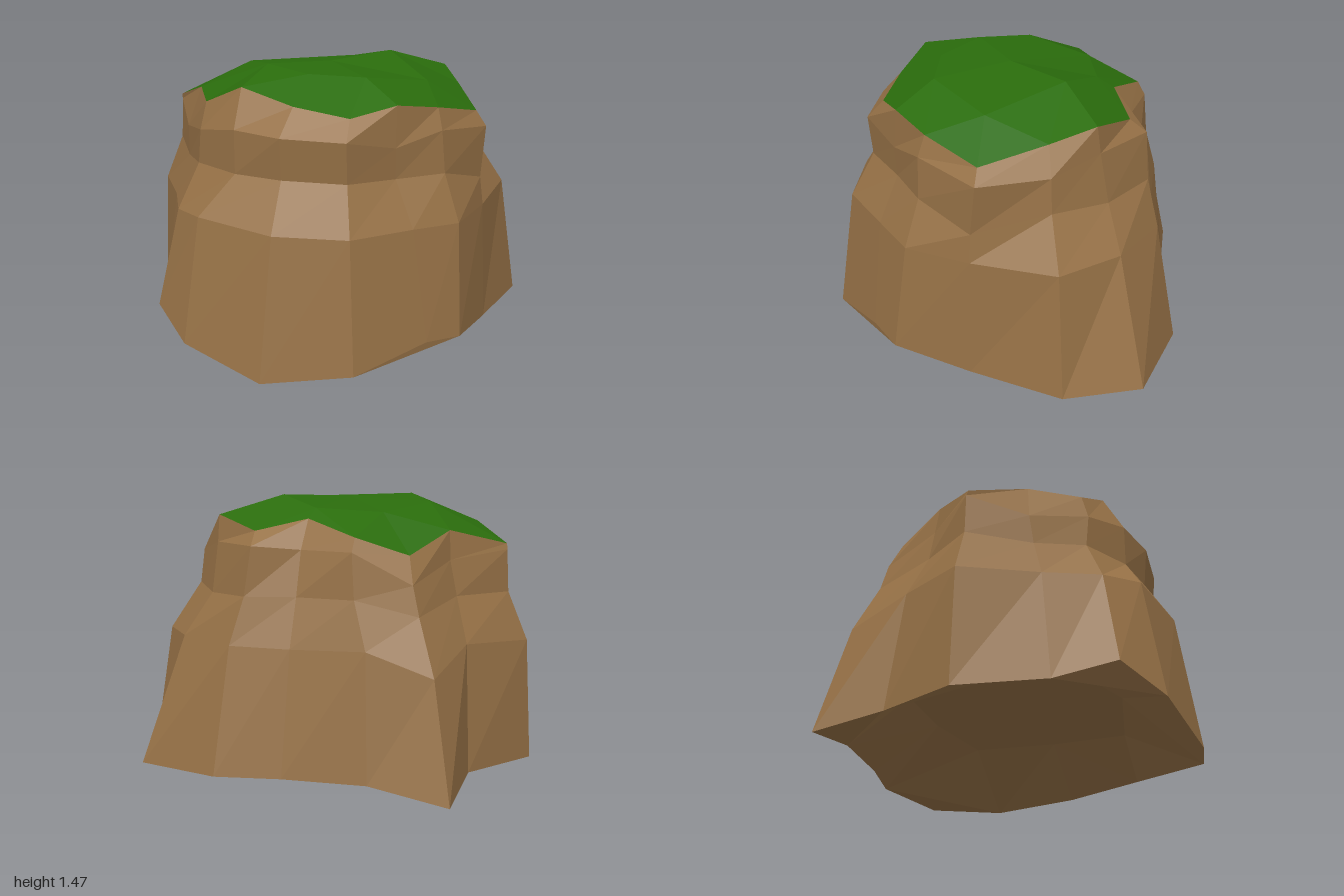
import * as THREE from 'three';

const N = 16; // columns around the rock, from the front towards +x

// ragged foot of the rock: x, y, z per column
const foot = [
  [-0.03, 0, 0.97], [0.43, 0.07, 0.89], [0.72, 0.16, 0.58], [0.86, 0.145, 0.42],
  [0.91, 0.09, 0], [1, 0.08, -0.5], [0.84, 0.09, -0.88], [0.36, 0.1, -0.98],
  [0.03, 0.1, -0.89], [-0.4, 0.1, -0.83], [-0.81, 0.03, -0.8], [-0.79, 0.1, -0.43],
  [-1, 0.09, 0], [-0.8, 0.145, 0.42], [-0.69, 0.24, 0.72], [-0.47, 0.12, 0.89],
];
// shoulder above the steep lower wall
const shoulder = [
  [0, 0.74, 0.86], [0.38, 0.74, 0.8], [0.63, 0.74, 0.55], [0.82, 0.73, 0.35],
  [0.88, 0.73, 0], [0.91, 0.74, -0.45], [0.67, 0.75, -0.71], [0.33, 0.74, -0.85],
  [0.03, 0.73, -0.78], [-0.36, 0.74, -0.75], [-0.69, 0.62, -0.69], [-0.75, 0.74, -0.36],
  [-0.97, 0.72, 0], [-0.74, 0.74, 0.36], [-0.6, 0.75, 0.63], [-0.42, 0.77, 0.78],
];
// narrow waist below the overhang
const waist = [
  [0, 0.98, 0.71], [0.33, 0.98, 0.68], [0.52, 0.97, 0.48], [0.73, 0.97, 0.3],
  [0.86, 0.88, 0], [0.76, 0.99, -0.38], [0.55, 0.97, -0.62], [0.28, 0.98, -0.78],
  [0.03, 0.98, -0.7], [-0.28, 0.98, -0.7], [-0.58, 0.9, -0.6], [-0.67, 0.97, -0.28],
  [-0.865, 0.97, 0], [-0.68, 0.95, 0.3], [-0.52, 0.98, 0.53], [-0.26, 0.98, 0.67],
];
// overhang under the grass
const overhang = [
  [0, 1.195, 0.73], [0.33, 1.19, 0.7], [0.52, 1.13, 0.49], [0.71, 1.19, 0.3],
  [0.875, 1.15, -0.03], [0.74, 1.17, -0.37], [0.54, 1.23, -0.57], [0.25, 1.23, -0.755],
  [0.03, 1.21, -0.64], [-0.26, 1.21, -0.68], [-0.54, 1.05, -0.58], [-0.63, 1.15, -0.27],
  [-0.855, 1.19, 0], [-0.69, 1.11, 0.28], [-0.5, 1.16, 0.54], [-0.26, 1.205, 0.67],
];
// zigzag border between rock and grass
const rim = [
  [0.03, 1.33, 0.61], [0.32, 1.29, 0.61], [0.52, 1.34, 0.47], [0.68, 1.3, 0.27],
  [0.82, 1.23, -0.03], [0.66, 1.31, -0.34], [0.54, 1.37, -0.55], [0.27, 1.3, -0.67],
  [0.03, 1.36, -0.55], [-0.26, 1.28, -0.64], [-0.5, 1.19, -0.52], [-0.62, 1.3, -0.25],
  [-0.85, 1.22, 0.01], [-0.62, 1.32, 0.25], [-0.48, 1.3, 0.5], [-0.26, 1.4, 0.56],
];
// crown of the grass, one point per two columns
const crown = [
  [0.03, 1.45, 0.38], [0.32, 1.44, 0.33], [0.56, 1.38, 0], [0.27, 1.47, -0.34],
  [0.03, 1.41, -0.46], [-0.3, 1.39, -0.36], [-0.43, 1.43, 0], [-0.24, 1.465, 0.24],
];
// ceiling of the hollow underneath, one point per two columns
const ceiling = [
  [-0.01, 0.56], [0.55, 0.43], [0.56, 0], [0.51, -0.46],
  [0.05, -0.52], [-0.39, -0.49], [-0.5, 0.08], [-0.37, 0.45],
].map(([x, z]) => [x, 0.33, z]);

// faceted mesh from a list of triangles
function facetMesh(name, tris, color) {
  const g = new THREE.BufferGeometry();
  g.setAttribute('position', new THREE.Float32BufferAttribute(tris.flat(2), 3));
  g.computeVertexNormals();
  const mesh = new THREE.Mesh(g, new THREE.MeshStandardMaterial({ color, flatShading: true }));
  mesh.name = name;
  return mesh;
}

// wall of quads between two rings of equal count
function wall(low, high) {
  return low.flatMap((a, i) => {
    const j = (i + 1) % low.length;
    return [[a, low[j], high[j]], [a, high[j], high[i]]];
  });
}

// fan closing a ring to a centre point, facing up
const fan = (ring, c) => ring.map((p, i) => [p, ring[(i + 1) % ring.length], c]);

export function createModel() {
  const group = new THREE.Group();
  group.name = 'grassyRock';

  // rock sides, ring by ring
  const rings = [foot, shoulder, waist, overhang, rim];
  const sides = rings.slice(1).flatMap((ring, k) => wall(rings[k], ring));
  group.add(facetMesh('rockSides', sides, 0x967146));

  // hollow underside: the four diagonal corners are closed by flat triangles
  const under = fan(ceiling, [0, 0.37, 0]);
  ceiling.forEach((c, k) => {
    const before = foot[(2 * k + N - 1) % N];
    const tip = foot[2 * k];
    const after = foot[2 * k + 1];
    if (k % 2) under.push([before, tip, after], [before, after, c]);
    else under.push([before, tip, c], [tip, after, c]);
    under.push([after, ceiling[(k + 1) % 8], c]);
  });
  const facingDown = under.map(([a, b, c]) => [a, c, b]);
  group.add(facetMesh('rockUnderside', facingDown, 0x967146));

  // grass cap: border stitched to the crown, then a fan to the middle
  const grass = fan(crown, [0.03, 1.455, 0]);
  crown.forEach((c, k) => {
    const next = crown[(k + 1) % 8];
    const mid = rim[2 * k + 1];
    grass.push([rim[2 * k], mid, c], [mid, rim[(2 * k + 2) % N], next], [mid, next, c]);
  });
  group.add(facetMesh('grassTop', grass, 0x2a6c0c));

  return group;
}
